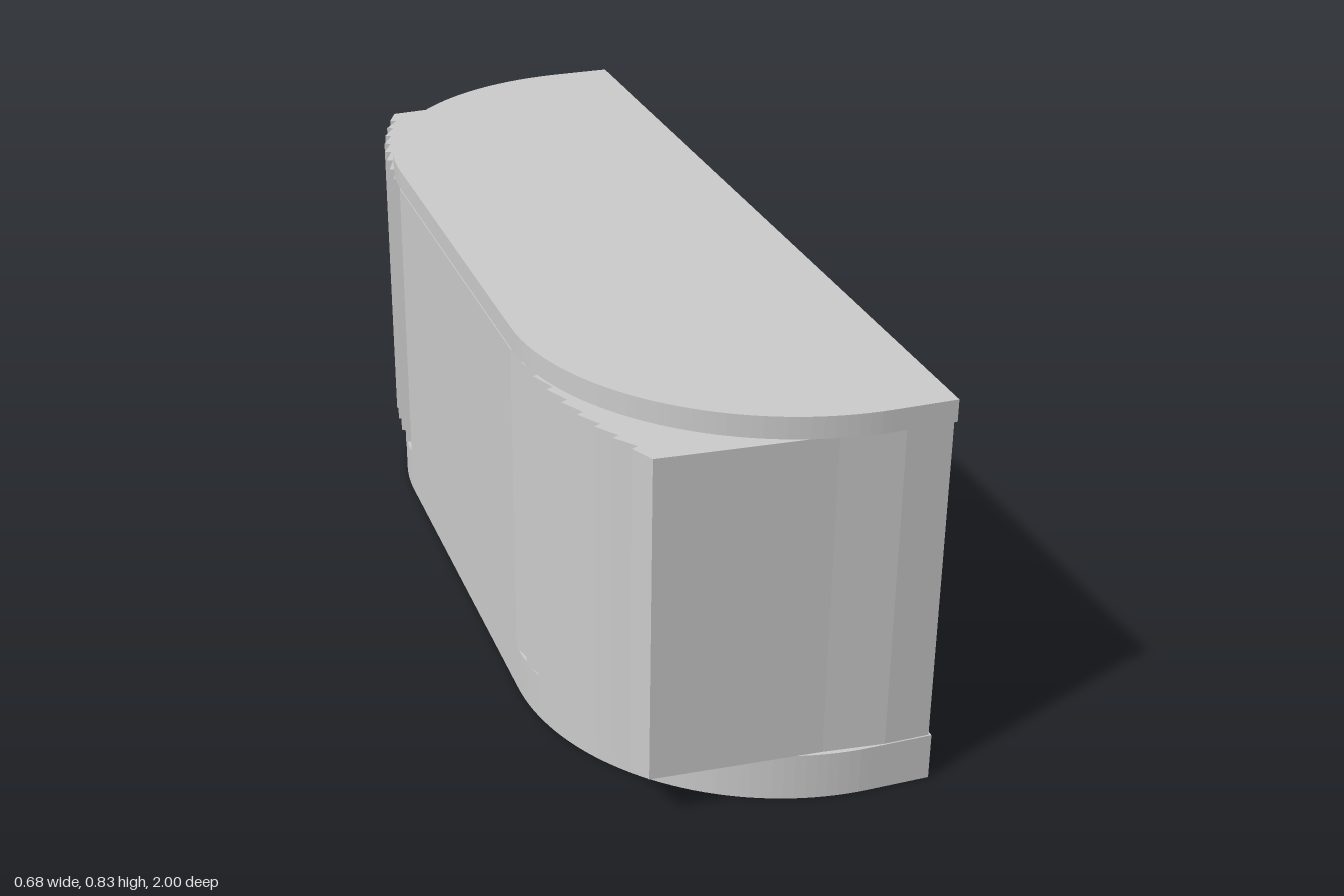
import * as THREE from 'three';

const material = new THREE.MeshStandardMaterial({ color: 0xcccccc, flatShading: true });

// Extrudes a plan outline (x, z) vertically between two heights
function planSolid(name, shape, y0, y1) {
  const geometry = new THREE.ExtrudeGeometry(shape, {
    depth: y1 - y0, bevelEnabled: false, curveSegments: 20,
  });
  geometry.rotateX(Math.PI / 2);
  const mesh = new THREE.Mesh(geometry, material);
  mesh.name = name;
  mesh.position.y = y1;
  return mesh;
}

// Half-stadium slab: straight open side, two rounded corners on the other
function slabShape() {
  const s = new THREE.Shape();
  s.moveTo(0.338, -1);
  s.lineTo(0.338, 1);
  s.lineTo(0.21, 1);
  s.absellipse(0.21, 0.45, 0.548, 0.55, Math.PI / 2, Math.PI, false);
  s.lineTo(-0.338, -0.45);
  s.absellipse(0.21, -0.45, 0.548, 0.55, Math.PI, Math.PI * 1.5, false);
  return s;
}

// Stepped corner line followed by the end panel, for the +z half
function wallLine(start, control, end, panel, ribs, step) {
  const curve = new THREE.QuadraticBezierCurve(
    new THREE.Vector2(...start), new THREE.Vector2(...control), new THREE.Vector2(...end));
  const points = [curve.getPoint(0)];
  for (let i = 1; i <= ribs; i++) {
    const p = curve.getPoint(i / ribs);
    if (i < ribs) points.push(new THREE.Vector2(p.x + step, p.y - 0.006));
    points.push(p);
  }
  panel.forEach(([x, z]) => points.push(new THREE.Vector2(x, z)));
  return points;
}

const mirrorZ = (points) => points.map((p) => new THREE.Vector2(p.x, -p.y)).reverse();

export function createModel() {
  const group = new THREE.Group();
  group.name = 'curvedCounter';

  // Base and worktop
  group.add(planSolid('baseSlab', slabShape(), 0, 0.1));
  group.add(planSolid('topSlab', slabShape(), 0.785, 0.83));

  // C-shaped wall with ribbed corners, open along +x
  const outer = wallLine([-0.34, 0.45], [-0.335, 0.75], [-0.23, 0.96],
    [[0.115, 0.983], [0.195, 0.992], [0.24, 0.997], [0.333, 0.997]], 9, 0.014);
  const inner = wallLine([-0.25, 0.43], [-0.245, 0.68], [-0.16, 0.87],
    [[0.115, 0.892], [0.195, 0.898], [0.24, 0.9], [0.333, 0.905]], 9, 0.014);
  const outline = [...mirrorZ(outer), ...outer, ...inner.slice().reverse(), ...mirrorZ(inner).reverse()];
  group.add(planSolid('ribbedWall', new THREE.Shape(outline), 0.1, 0.785));

  return group;
}
